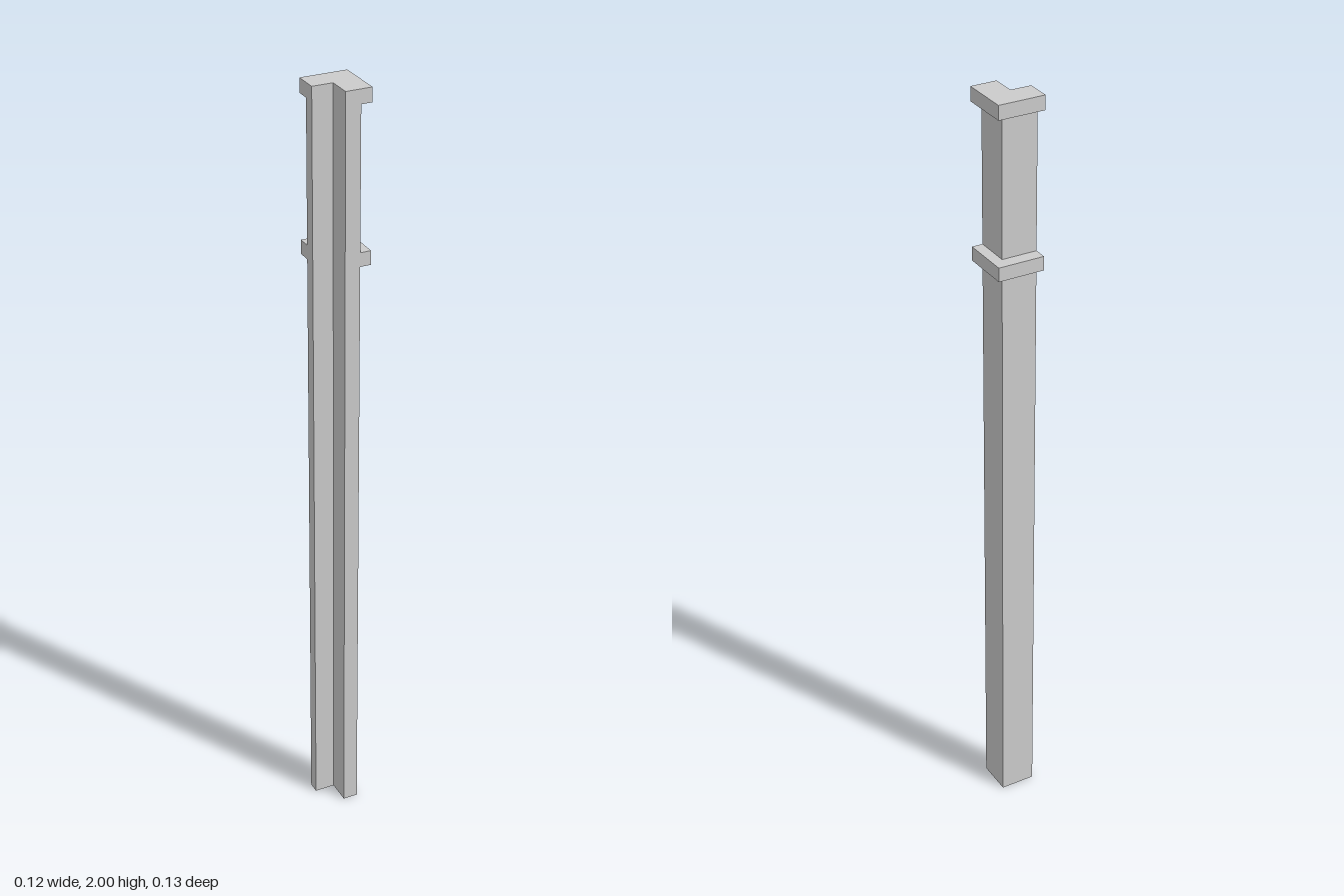
import * as THREE from 'three';

const material = new THREE.MeshStandardMaterial({ color: 0xcccccc, flatShading: true });

// Shared free ends of the two legs
const endX = -0.06, endZ = 0.063;

// Upright L-section: outer corner at (ox, oz), inner corner at (ix, iz)
function angleBar(name, ox, oz, ix, iz, y0, y1) {
  // Shape y is -z, so the extrusion can be turned upright
  const outline = [[endX, oz], [endX, iz], [ix, iz], [ix, endZ], [ox, endZ], [ox, oz]];
  const shape = new THREE.Shape(outline.map(([x, z]) => new THREE.Vector2(x, -z)));
  const geometry = new THREE.ExtrudeGeometry(shape, { depth: y1 - y0, bevelEnabled: false });
  geometry.rotateX(-Math.PI / 2);
  geometry.translate(0, y0, 0);
  const mesh = new THREE.Mesh(geometry, material);
  mesh.name = name;
  return mesh;
}

export function createModel() {
  const group = new THREE.Group();
  group.name = 'cornerPost';
  const shaftX = 0.032, shaftZ = -0.03;

  // Full-height corner shaft
  group.add(angleBar('shaft', shaftX, shaftZ, -0.007, 0, 0, 2));

  // Raised bands wrapping the outer faces
  for (const [name, y0, y1] of [['middleBand', 1.567, 1.603], ['topBand', 1.964, 2]]) {
    group.add(angleBar(name, 0.06, -0.064, shaftX, shaftZ, y0, y1));
  }
  return group;
}
